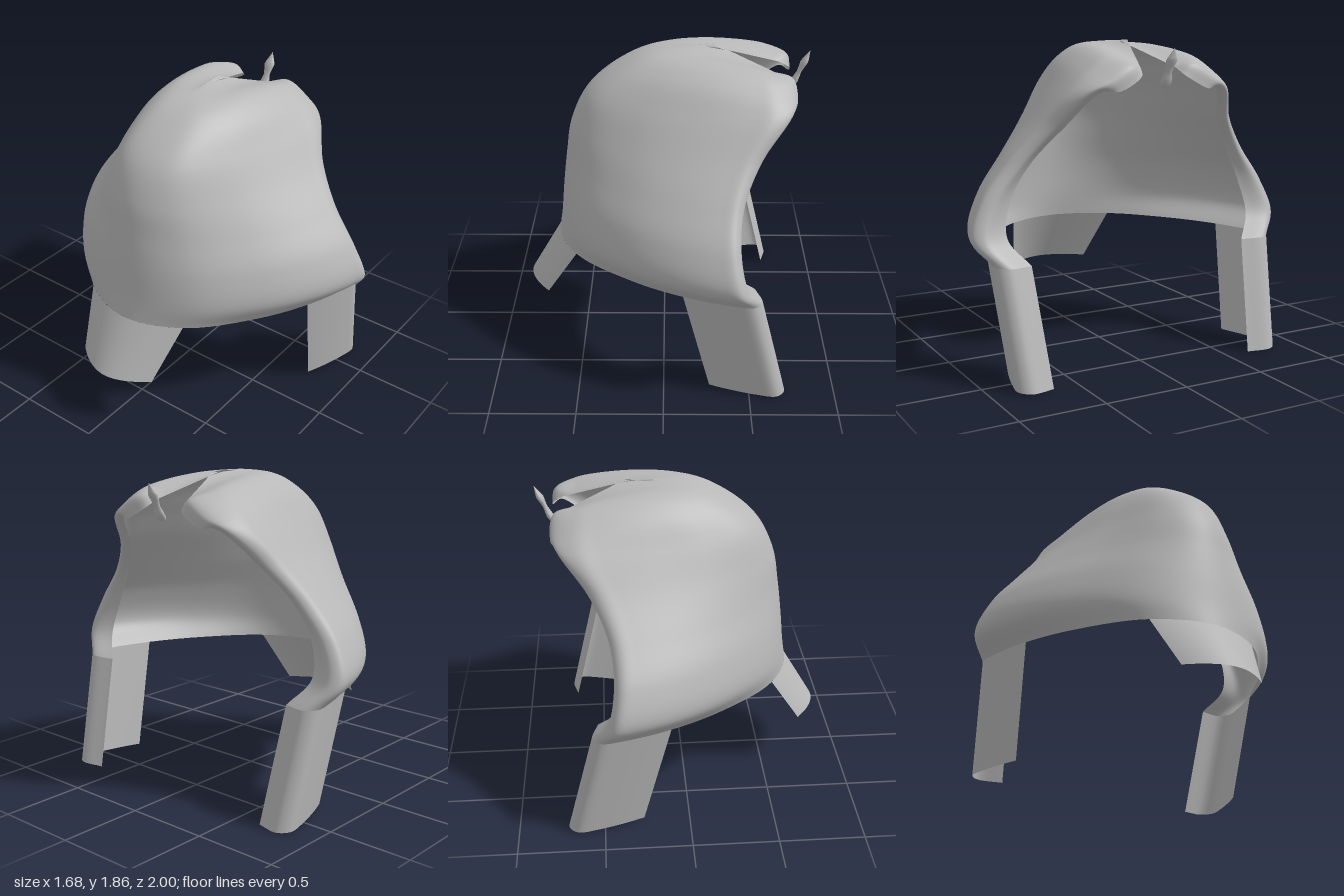
import * as THREE from 'three';

const LAST = 7; // control points per half band, after the centre one

// Plan shape shared by every band: progress from back to side, and width
const ALONG = [0, .11, .4, .66, .9, 1];
const WIDTH = [0, .385, .705, .885, .985, 1];

// Horizontal bands of the shell, bottom to top:
// height, back x, side x, side z, rim reach, lip depth, drop towards the rim, roundness
const bands = [
  [.67, -.65, .5, .9, .05, .2, .005, 1],
  [.8, -.63, .42, .995, .04, .195, 0, 1],
  [1, -.61, .38, .925, .04, .165, 0, 1],
  [1.2, -.585, .39, .775, .05, .125, 0, 1],
  [1.4, -.55, .47, .62, .07, .12, 0, 1.1],
  [1.6, -.45, .6, .49, .1, .13, 0, 1.3],
  [1.755, -.25, .62, .38, .115, .1, .055, 1.5],
  [1.834, -.06, .6, .25, .12, .11, .057, 1.7],
];

function bandPoints([y, back, side, width, reach, lip, drop, power]) {
  const points = ALONG.map((a, i) => {
    const f = a ** power;
    return new THREE.Vector3(back + (side - back) * f, y - drop * f ** 3, width * WIDTH[i]);
  });
  // Rim and its inward curl
  points.push(new THREE.Vector3(side + reach, y - 1.7 * drop, width - .058));
  points.push(new THREE.Vector3(side + reach * 1.6 - .06, y - 2.8 * drop, width - lip));
  return points;
}

// Notch edge runs straight from its apex to the tip of a lobe
const apex = new THREE.Vector3(.28, 1.86, -.03), tip = new THREE.Vector3(.61, 1.74, .088);
const notchPoints = [...ALONG, 1.12, 1.2].map((f) => apex.clone().lerp(tip, f));

// Full right-to-left curve for each band
const bandCurves = [...bands.map(bandPoints), notchPoints].map((half) => {
  const mirrored = half.slice(1).reverse().map((p) => new THREE.Vector3(p.x, p.y, -p.z));
  return new THREE.CatmullRomCurve3([...mirrored, ...half]);
});
const onBand = (curve, u) => curve.getPoint((u + LAST) / (2 * LAST));

// Surface between u0 and u1; column(u) gives a function of height t from 0 to 1
function patch(u0, u1, nu, nv, column) {
  const pos = [], index = [];
  for (let i = 0; i <= nu; i++) {
    const at = column(u0 + (u1 - u0) * i / nu);
    for (let j = 0; j <= nv; j++) {
      pos.push(...at(j / nv).toArray());
      if (i < nu && j < nv) {
        const a = i * (nv + 1) + j, b = a + nv + 1;
        index.push(a, b, a + 1, b, b + 1, a + 1);
      }
    }
  }
  const g = new THREE.BufferGeometry();
  g.setAttribute('position', new THREE.Float32BufferAttribute(pos, 3));
  g.setIndex(index);
  g.computeVertexNormals();
  return g;
}

// Strip hanging from the shell's lower band, listed from foot to top so it faces outward
const hanging = (u0, u1, footOf) => patch(u0, u1, 32, 4, (u) => {
  const top = onBand(bandCurves[0], u), foot = footOf(top);
  return (t) => foot.clone().lerp(top, t);
});

export function createModel() {
  const group = new THREE.Group();
  const grey = new THREE.MeshStandardMaterial({ color: 0xb8b8b8, side: THREE.DoubleSide });
  grey.name = 'grey';
  const add = (name, geometry) => {
    const m = new THREE.Mesh(geometry, grey);
    m.name = name;
    group.add(m);
    return m;
  };

  // Domed shell with two front lobes and a notch between them
  add('shell', patch(-LAST, LAST, 112, 64, (u) => {
    const c = new THREE.CatmullRomCurve3(bandCurves.map((curve) => onBand(curve, u)));
    return (t) => c.getPoint(t);
  }));

  // Front legs continue the lower band downward and forward
  const legFoot = (s) => (p) => new THREE.Vector3(p.x + .16, p.y - .657, p.z - .05 * s);
  add('leftLeg', hanging(3, LAST, legFoot(1)));
  add('rightLeg', hanging(-LAST, -3, legFoot(-1)));

  // Tapered tab flaring out at the back
  add('backTab', hanging(-1, 1, (p) => new THREE.Vector3(p.x - .19, .35, p.z * .76)));

  // Small bent finial in front of the notch
  const profile = [[0, 0], [.022, .005], [.034, .03], [.028, .06], [.02, .09], [.026, .12], [.034, .15], [.026, .17], [0, .22]];
  const finial = new THREE.LatheGeometry(profile.map(([r, y]) => new THREE.Vector2(r, y)), 12);
  const p = finial.attributes.position;
  for (let i = 0; i < p.count; i++) p.setX(i, p.getX(i) * .65 + .45 * p.getY(i));
  finial.computeVertexNormals();
  add('finial', finial).position.set(.738, 1.61, 0);

  return group;
}
